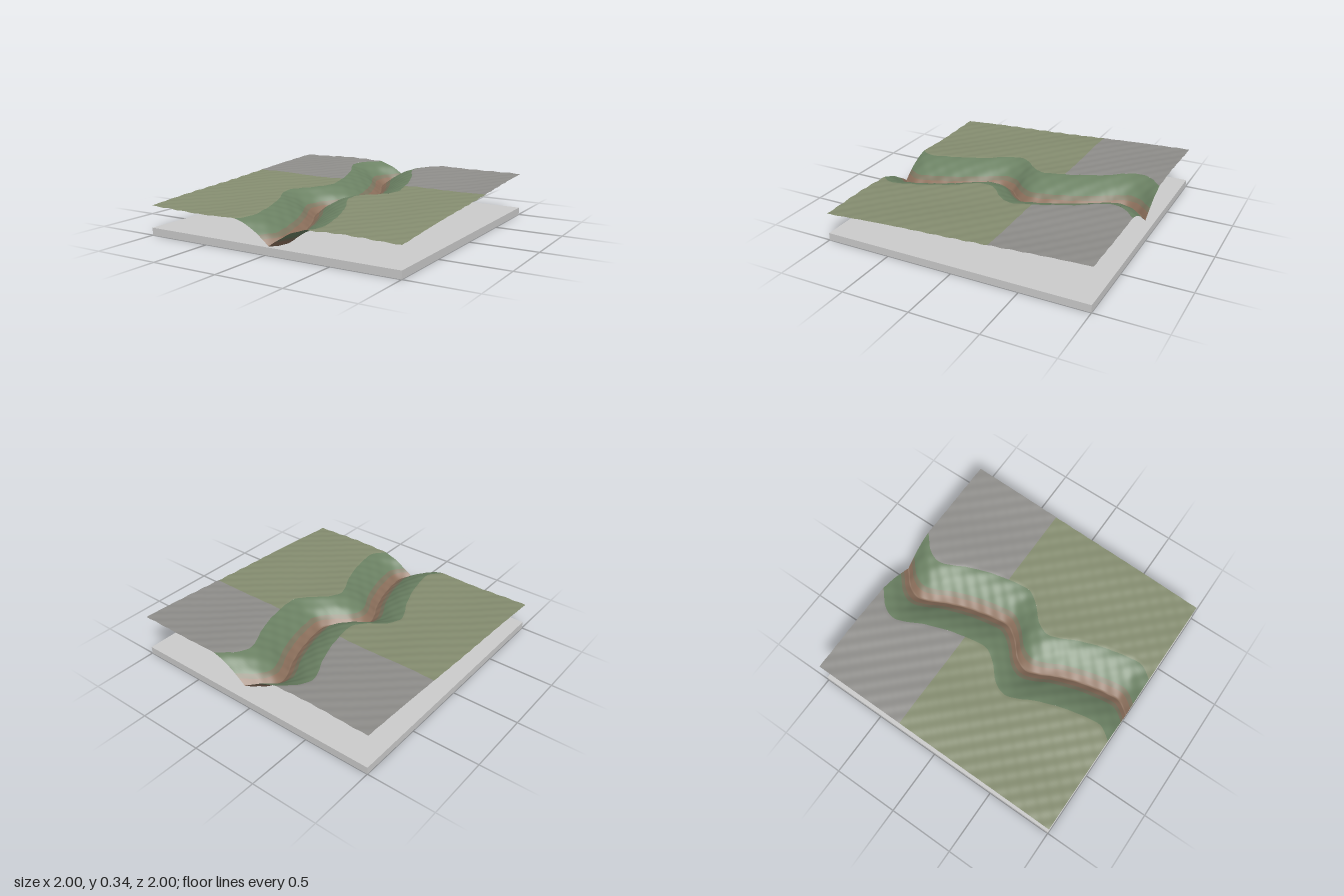
import * as THREE from 'three';

// Stream centre line: sideways offsets every 0.1 along z, repeating each unit
const BENDS = [0.03, -0.075, -0.115, -0.085, -0.03, 0.01, 0.045, 0.07, 0.09, 0.095];
const bend = (i) => BENDS[((i % 10) + 10) % 10];

function streamX(z) {
  const s = z * 10;
  const i = Math.floor(s + 1e-9);
  const t = s - i;
  const [a, b, c, d] = [bend(i - 1), bend(i), bend(i + 1), bend(i + 2)];
  return b + 0.5 * t * (c - a + t * (2 * a - 5 * b + 4 * c - d + t * (3 * (b - c) + d - a)));
}

// Tilted plateau with fine ripples, cut by a V-shaped valley
function height(x, z) {
  const plateau = 0.27 - 0.057 * z;
  const ripples = 0.003 * Math.sin(7 * x + 2 * z + 1) + 0.0025 * Math.cos(5 * z - 9 * x)
    + 0.0014 * Math.sin(48 * (x + z)) + 0.0014 * Math.sin(44 * (x - z));
  const d = Math.abs(x - streamX(z));
  const valley = 0.15 * Math.pow(Math.max(0, 1 - d / 0.3), 1.6);
  return plateau + ripples - valley;
}

// A ground strip between two side limits, each a function of z
function strip(name, color, left, right, cols, z0 = -1, z1 = 1) {
  const rows = Math.round((z1 - z0) * 80);
  const geo = new THREE.PlaneGeometry(1, 1, cols, rows);
  const pos = geo.attributes.position;
  const nor = geo.attributes.normal;
  const n = new THREE.Vector3();
  const e = 0.006;
  for (let k = 0; k < pos.count; k++) {
    const z = THREE.MathUtils.lerp(z0, z1, 0.5 - pos.getY(k));
    const x = THREE.MathUtils.lerp(left(z), right(z), pos.getX(k) + 0.5);
    pos.setXYZ(k, x, height(x, z), z);
    // slope-based normals keep shading continuous across strips
    n.set(height(x - e, z) - height(x + e, z), 2 * e, height(x, z - e) - height(x, z + e)).normalize();
    nor.setXYZ(k, n.x, n.y, n.z);
  }
  const mesh = new THREE.Mesh(geo, new THREE.MeshStandardMaterial({ color, side: THREE.DoubleSide }));
  mesh.name = name;
  return mesh;
}

export function createModel() {
  const group = new THREE.Group();
  group.name = 'valleyTerrain';

  // Base slab
  const base = new THREE.Mesh(
    new THREE.BoxGeometry(2, 0.055, 2),
    new THREE.MeshStandardMaterial({ color: 0xcccccc })
  );
  base.name = 'baseSlab';
  base.position.y = 0.0275;
  group.add(base);

  const at = (d) => (z) => streamX(z) + d;
  const edge = (x) => () => x;

  // Both sides of the stream: earth bank, mossy bank, grassy wall, then plateau
  const bands = [
    ['earthBank', 0x8c705c, 0, 0.05, 5],
    ['mossyBank', 0x7c7660, 0.05, 0.085, 3],
    ['valleyWall', 0x6c8264, 0.085, 0.28, 12],
  ];
  const split = -0.28;
  for (const s of [-1, 1]) {
    const side = s > 0 ? 'Left' : 'Right';
    const add = (name, color, inner, outer, cols, z0, z1) => {
      const [l, r] = s > 0 ? [inner, outer] : [outer, inner];
      group.add(strip(name + side, color, l, r, cols, z0, z1));
    };
    for (const [name, color, d0, d1, cols] of bands) add(name, color, at(s * d0), at(s * d1), cols);
    add('rockPlateau', 0x8e8d8a, at(s * 0.28), edge(s), 50, -1, split);
    add('meadowPlateau', 0x858d70, at(s * 0.28), edge(s), 50, split, 1);
  }
  return group;
}
